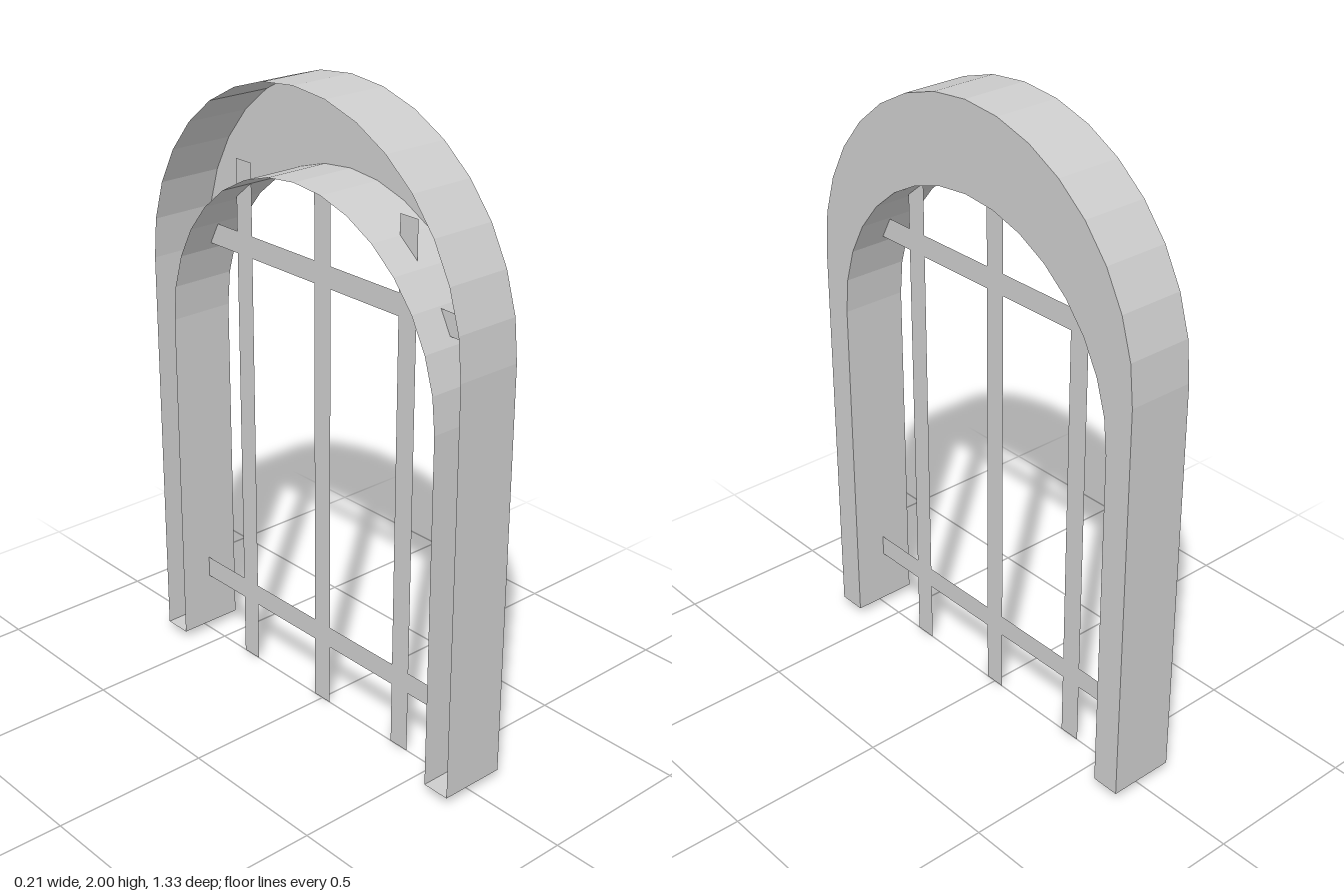
import * as THREE from 'three';

const HALF_DEPTH = 0.107, BASE = 0.027;
const OUTER = { r: 0.665, y: 1.335 }, INNER = { r: 0.574, y: 1.154 };

// Leg, half circle in 16 steps, leg; runs counter-clockwise
function archPath({ r, y }) {
  const pts = [new THREE.Vector2(r, BASE)];
  for (let i = 0; i <= 16; i++) {
    const a = (Math.PI * i) / 16;
    pts.push(new THREE.Vector2(r * Math.cos(a), y + r * Math.sin(a)));
  }
  pts.push(new THREE.Vector2(-r, BASE));
  return pts;
}

// Faceted wall swept through the depth of the frame along a path
function wall(path) {
  const pos = [], d = HALF_DEPTH;
  for (let i = 0; i < path.length - 1; i++) {
    const a = path[i], b = path[i + 1];
    pos.push(a.x, a.y, -d, b.x, b.y, -d, b.x, b.y, d);
    pos.push(a.x, a.y, -d, b.x, b.y, d, a.x, a.y, d);
  }
  const geo = new THREE.BufferGeometry();
  geo.setAttribute('position', new THREE.Float32BufferAttribute(pos, 3));
  geo.computeVertexNormals();
  return geo;
}

export function createModel() {
  const model = new THREE.Group();
  model.name = 'archedWindow';
  const grey = new THREE.MeshStandardMaterial({ color: 0xcccccc, side: THREE.DoubleSide });
  grey.name = 'paleGrey';

  // Parts are drawn in the XY plane, then turned to face +x
  const add = (name, geo) => {
    const mesh = new THREE.Mesh(geo.rotateY(Math.PI / 2), grey);
    mesh.name = name;
    model.add(mesh);
  };

  // Hollow frame, open on the -x side
  const outer = archPath(OUTER);
  const inner = archPath(INNER).reverse();
  add('frameOuterWall', wall(outer));
  add('frameInnerWall', wall(inner));
  add('frameFootA', wall([outer[outer.length - 1], inner[0]]));
  add('frameFootB', wall([inner[inner.length - 1], outer[0]]));
  add('frameFace', new THREE.ShapeGeometry(new THREE.Shape([...outer, ...inner]))
    .translate(0, 0, HALF_DEPTH));

  // Flat bars in the middle of the frame
  const bar = (name, u0, u1, y0, y1) =>
    add(name, new THREE.PlaneGeometry(u1 - u0, y1 - y0).translate((u0 + u1) / 2, (y0 + y1) / 2, 0));
  for (const u of [-0.352, 0, 0.352]) bar('verticalBar', u - 0.035, u + 0.035, 0, 1.694);
  bar('lowerCrossBar', -0.574, 0.574, 0.204, 0.274);
  bar('upperCrossBar', -0.574, 0.574, 1.397, 1.467);

  return model;
}
